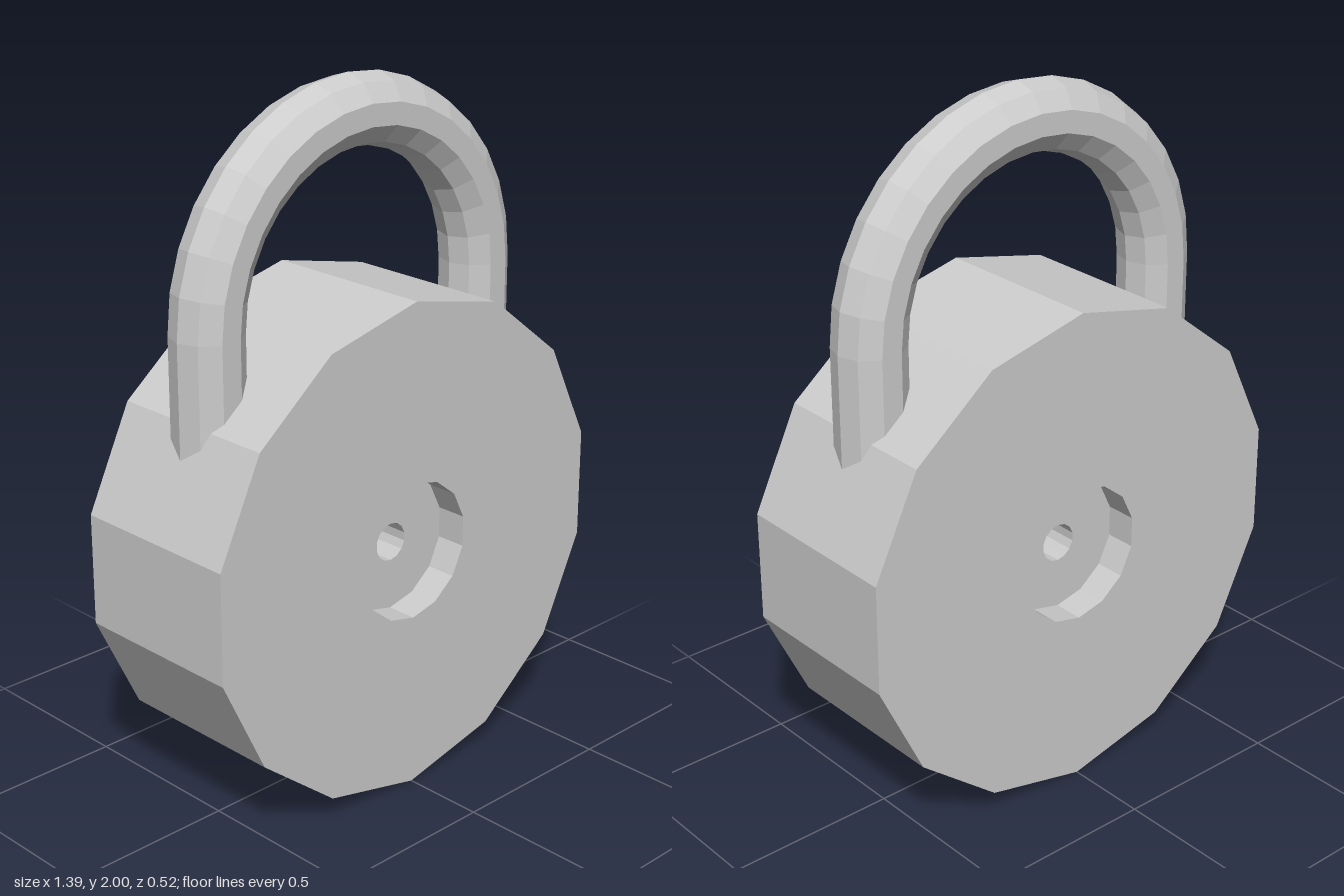
import * as THREE from 'three';

const BODY_Y = 0.72;   // centre of the lock body
const ARCH_Y = 1.4;    // centre of the shackle arch
const ARCH_R = 0.5;
const BAR_R = 0.1;

export function createModel() {
  const model = new THREE.Group();
  const steel = new THREE.MeshStandardMaterial({ color: 0xcccccc, flatShading: true });
  steel.name = 'steel';

  const add = (name, geometry, parent, x = 0, y = 0) => {
    const mesh = new THREE.Mesh(geometry, steel);
    mesh.name = name;
    mesh.position.set(x, y, 0);
    parent.add(mesh);
  };

  // Faceted drum body with a stepped keyhole recess on both faces
  const half = [[0, 0.02], [0.055, 0.02], [0.055, 0.17], [0.2, 0.17], [0.2, 0.26], [0.715, 0.26]];
  const profile = [
    ...half.map(([r, z]) => new THREE.Vector2(r, -z)),
    ...half.slice().reverse().map(([r, z]) => new THREE.Vector2(r, z)),
  ];
  add('lockBody', new THREE.LatheGeometry(profile, 14).rotateX(Math.PI / 2), model, 0, BODY_Y);

  // Shackle: half-ring arch and two straight legs sunk into the body
  const shackle = new THREE.Group();
  shackle.name = 'shackle';
  model.add(shackle);
  add('shackleArch', new THREE.TorusGeometry(ARCH_R, BAR_R, 10, 16, Math.PI), shackle, 0, ARCH_Y);
  const legLength = 0.4;
  for (const [name, side] of [['leftLeg', 1], ['rightLeg', -1]]) {
    const leg = new THREE.CylinderGeometry(BAR_R, BAR_R, legLength, 10).rotateY(side * Math.PI / 2);
    add(name, leg, shackle, side * ARCH_R, ARCH_Y - legLength / 2);
  }

  return model;
}
